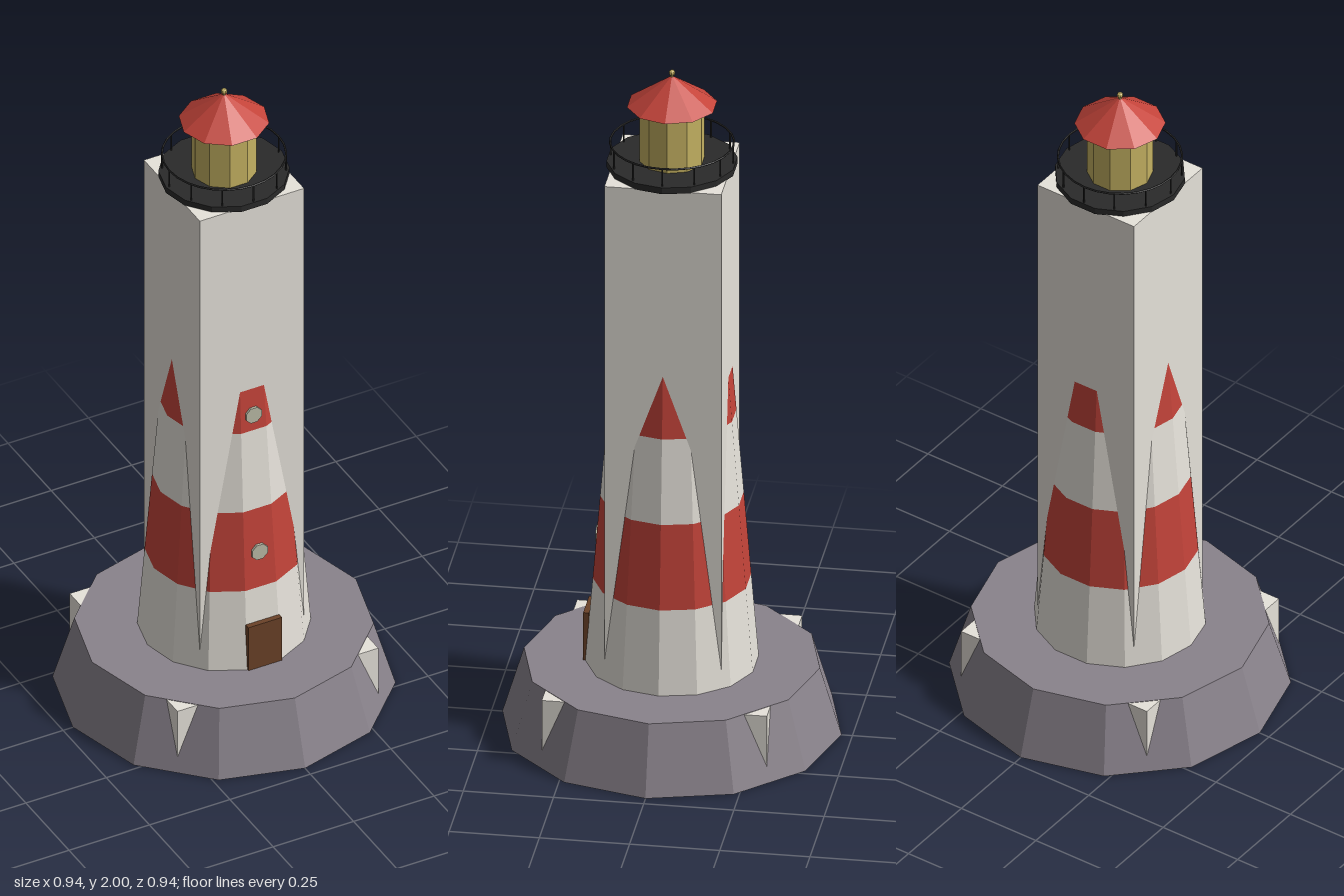
import * as THREE from 'three';

const mat = (name, color) => {
  const m = new THREE.MeshStandardMaterial({ color, flatShading: true });
  m.name = name;
  return m;
};

export function createModel() {
  const white = mat('white wall', 0xe8e4dc);
  const red = mat('red paint', 0xc4443a);
  const rock = mat('rock', 0x8a838c);
  const black = mat('black iron', 0x2a2a2a);
  const gold = mat('lantern gold', 0xc5b262);
  const brown = mat('door brown', 0x6b4228);
  const pane = mat('window pane', 0xbcbda8);

  const model = new THREE.Group();
  model.name = 'lighthouse';

  const add = (name, geometry, material, x = 0, y = 0, z = 0) => {
    const mesh = new THREE.Mesh(geometry, material);
    mesh.name = name;
    mesh.position.set(x, y, z);
    model.add(mesh);
    return mesh;
  };
  // Upright faceted drum from y0 to y1, with one corner on +x
  const drum = (name, material, rTop, rBottom, y0, y1, sides) =>
    add(name, new THREE.CylinderGeometry(rTop, rBottom, y1 - y0, sides).rotateY(Math.PI / 2),
      material, 0, (y0 + y1) / 2, 0);
  // Square block from y0 to y1
  const block = (name, material, w, y0, y1) =>
    add(name, new THREE.BoxGeometry(w, y1 - y0, w), material, 0, (y0 + y1) / 2, 0);

  // Rock and the square footing whose corners poke out of it
  drum('rockBase', rock, 0.41, 0.47, 0.001, 0.2, 12);
  block('footing', white, 0.624, 0, 0.199);

  // Tapered tower in alternating painted bands
  const bottom = 0.2, top = 1.71, bands = 6;
  const radiusAt = y => 0.238 - 0.0809 * (y - bottom);
  for (let i = 0; i < bands; i++) {
    const y0 = bottom + (top - bottom) * i / bands;
    const y1 = bottom + (top - bottom) * (i + 1) / bands;
    drum('towerBand' + (i + 1), i % 2 ? red : white, radiusAt(y1), radiusAt(y0), y0, y1, 14);
  }

  // Square shaft running through the tower
  block('shaft', white, 0.324, 0.19, 1.71);

  // Door and round windows on the front
  add('door', new THREE.BoxGeometry(0.104, 0.146, 0.016), brown, 0, 0.272, 0.23);
  for (const y of [0.565, 1.005]) {
    const z = radiusAt(y) * Math.cos(Math.PI / 14);
    add('window', new THREE.CylinderGeometry(0.026, 0.026, 0.009, 8)
      .rotateY(Math.PI / 8).rotateX(Math.PI / 2), pane, 0, y, z + 0.001);
  }

  // Gallery deck with railing
  drum('galleryDeck', black, 0.18, 0.18, 1.708, 1.727, 14);
  const railRadius = 0.17, railY = 1.78, posts = 12;
  add('handrail', new THREE.TorusGeometry(railRadius, 0.003, 5, 28).rotateX(Math.PI / 2),
    black, 0, railY, 0);
  for (let i = 0; i < posts; i++) {
    const a = i / posts * Math.PI * 2;
    add('railPost', new THREE.CylinderGeometry(0.0025, 0.0025, railY - 1.725, 5), black,
      railRadius * Math.cos(a), (railY + 1.725) / 2, railRadius * Math.sin(a));
  }

  // Lantern room, roof and finial
  drum('lanternRoom', gold, 0.09, 0.09, 1.725, 1.897, 10);
  add('roof', new THREE.ConeGeometry(0.125, 0.088, 10).rotateY(Math.PI / 2), red, 0, 1.939, 0);
  drum('finialPole', gold, 0.005, 0.005, 1.97, 1.992, 6);
  add('finialBall', new THREE.SphereGeometry(0.009, 8, 6), gold, 0, 1.991, 0);

  return model;
}
